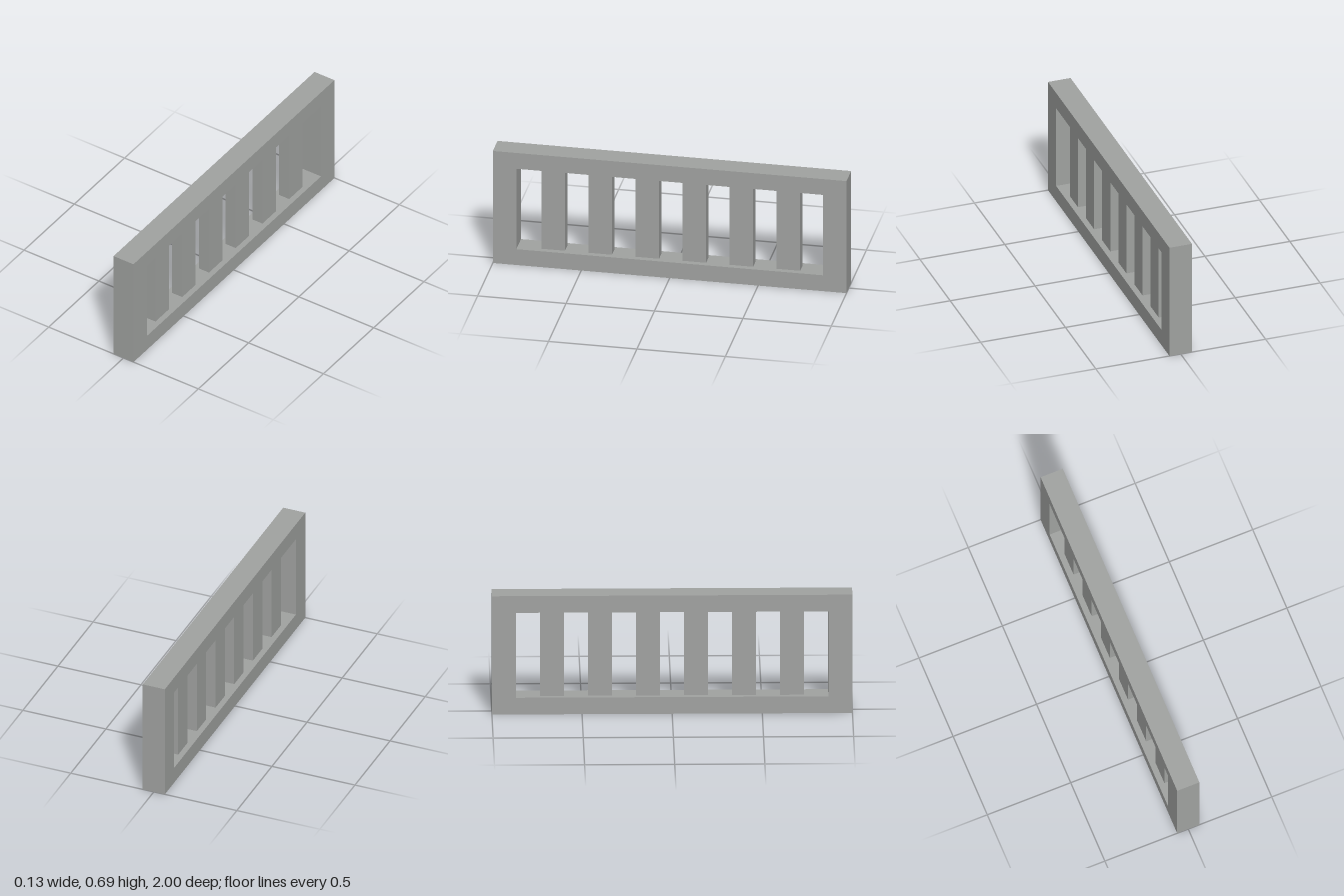
import * as THREE from 'three';

const LENGTH = 2, HEIGHT = 0.688, DEPTH = 0.133;
const POST = 0.133, RAIL = 0.097;
const BARS = 6, BAR_WIDTH = 0.133, BAR_DEPTH = 0.067;

function rectangle(path, x0, y0, x1, y1) {
  path.moveTo(x0, y0);
  path.lineTo(x1, y0);
  path.lineTo(x1, y1);
  path.lineTo(x0, y1);
  path.closePath();
  return path;
}

export function createModel() {
  const model = new THREE.Group();
  model.name = 'railing';
  const stone = new THREE.MeshStandardMaterial({ color: 0xa0a2a0 });
  stone.name = 'grey stone';

  // Outer frame: rails and end posts around one opening
  const half = LENGTH / 2;
  const outline = rectangle(new THREE.Shape(), -half, 0, half, HEIGHT);
  outline.holes.push(rectangle(new THREE.Path(), -half + POST, RAIL, half - POST, HEIGHT - RAIL));
  const frameGeometry = new THREE.ExtrudeGeometry(outline, { depth: DEPTH, bevelEnabled: false });
  frameGeometry.translate(0, 0, -DEPTH / 2).rotateY(Math.PI / 2);
  const frame = new THREE.Mesh(frameGeometry, stone);
  frame.name = 'frame';
  model.add(frame);

  // Upright bars, evenly spaced along the opening and half as deep as the frame
  const bars = new THREE.Group();
  bars.name = 'bars';
  const barGeometry = new THREE.BoxGeometry(BAR_DEPTH, HEIGHT - 2 * RAIL, BAR_WIDTH);
  const spacing = 2 * BAR_WIDTH;
  for (let i = 0; i < BARS; i++) {
    const bar = new THREE.Mesh(barGeometry, stone);
    bar.name = `bar${i + 1}`;
    bar.position.set(0, HEIGHT / 2, (i - (BARS - 1) / 2) * spacing);
    bars.add(bar);
  }
  model.add(bars);

  return model;
}
